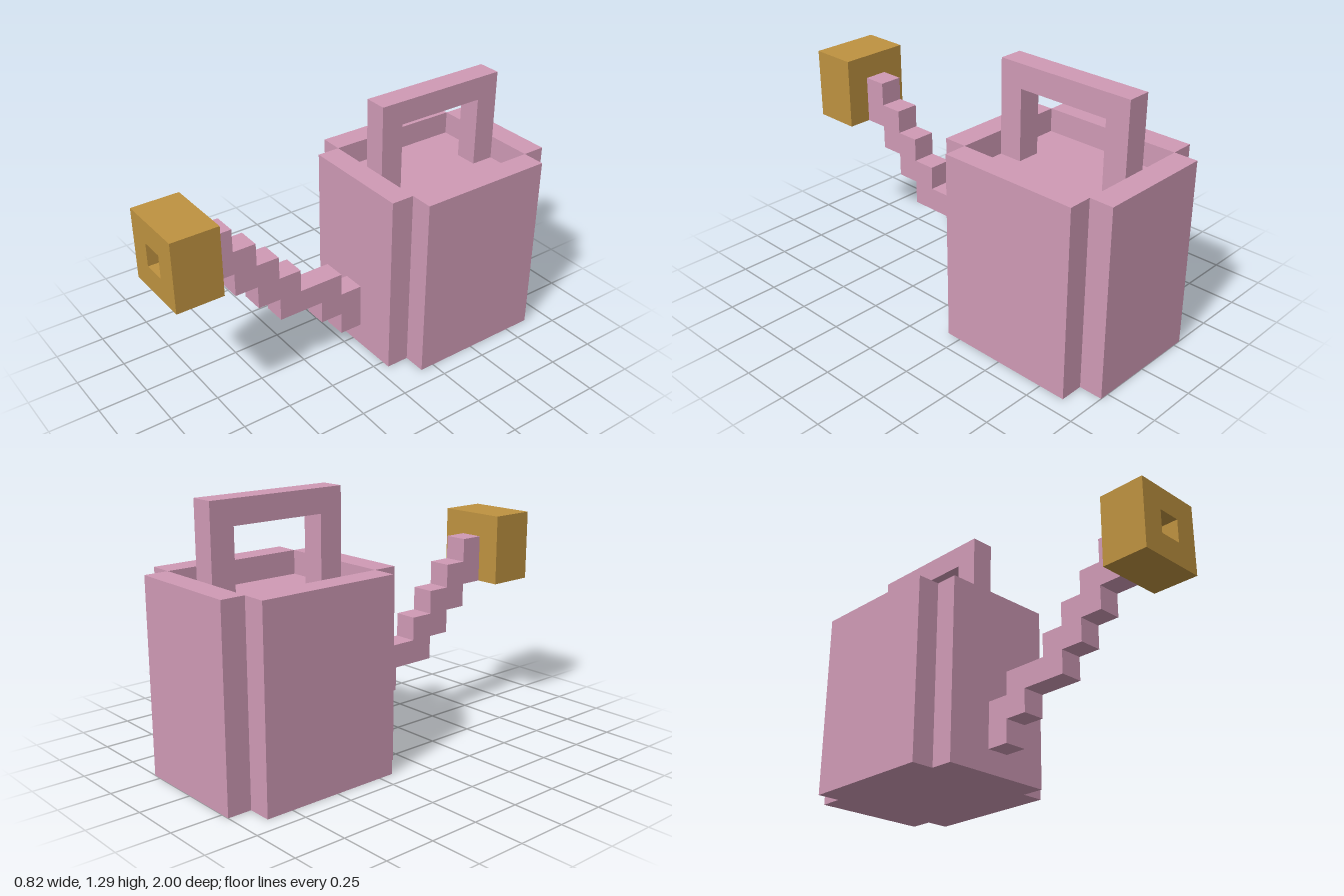
import * as THREE from 'three';

const U = 2 / 17; // one block unit
const pink = new THREE.MeshStandardMaterial({ color: 0xcf9ab5 });
const gold = new THREE.MeshStandardMaterial({ color: 0xbe9240 });

// Box given by its limits in block units
function block(name, [x0, x1], [y0, y1], [z0, z1], material = pink) {
  const mesh = new THREE.Mesh(
    new THREE.BoxGeometry((x1 - x0) * U, (y1 - y0) * U, (z1 - z0) * U), material);
  mesh.position.set((x0 + x1) / 2 * U, (y0 + y1) / 2 * U, (z0 + z1) / 2 * U);
  mesh.name = name;
  return mesh;
}

// Side profile of [z, y] points, one block wide, centred on x = 0
function sideProfile(name, points) {
  const shape = new THREE.Shape(points.map(([z, y]) => new THREE.Vector2(z * U, y * U)));
  const geometry = new THREE.ExtrudeGeometry(shape, { depth: U, bevelEnabled: false });
  geometry.translate(0, 0, -U / 2).rotateY(-Math.PI / 2);
  const mesh = new THREE.Mesh(geometry, pink);
  mesh.name = name;
  return mesh;
}

export function createModel() {
  const can = new THREE.Group();
  can.name = 'wateringCan';

  // Tank: filled core with four taller walls and notched corners
  can.add(
    block('tankFilling', [-2.5, 2.5], [0, 7], [-7.5, -1.5]),
    block('frontWall', [-2.5, 2.5], [0, 8], [-1.5, -0.5]),
    block('backWall', [-2.5, 2.5], [0, 8], [-8.5, -7.5]),
    block('leftWall', [2.5, 3.5], [0, 8], [-7.5, -1.5]),
    block('rightWall', [-3.5, -2.5], [0, 8], [-7.5, -1.5]));

  // Arched handle standing inside the rim
  can.add(sideProfile('handle', [
    [-7.5, 7], [-6.5, 7], [-6.5, 10], [-2.5, 10],
    [-2.5, 7], [-1.5, 7], [-1.5, 11], [-7.5, 11]]));

  // Stepped spout: bottom and top of each one-block column
  const columns = [[1, 3], [2, 4], [3, 4], [3, 5], [4, 6], [5, 7], [6, 8]];
  const lower = [], upper = [];
  columns.forEach(([bottom, top], i) => {
    const z = i - 0.5;
    if (bottom !== columns[i - 1]?.[0]) lower.push([z, bottom]);
    if (bottom !== columns[i + 1]?.[0]) lower.push([z + 1, bottom]);
    if (top !== columns[i - 1]?.[1]) upper.push([z, top]);
    if (top !== columns[i + 1]?.[1]) upper.push([z + 1, top]);
  });
  can.add(sideProfile('spout', [...lower, ...upper.reverse()]));

  // Spout head: solid back half, front half with a square opening
  const head = new THREE.Group();
  head.name = 'spoutHead';
  const square = (path, r) => path.moveTo(-r, -r).lineTo(r, -r).lineTo(r, r).lineTo(-r, r).closePath();
  const face = square(new THREE.Shape(), 1.5 * U);
  face.holes.push(square(new THREE.Path(), 0.5 * U));
  const front = new THREE.Mesh(
    new THREE.ExtrudeGeometry(face, { depth: U, bevelEnabled: false }), gold);
  front.position.set(0, 7.5 * U, 7.5 * U);
  front.name = 'spoutOpening';
  head.add(front, block('spoutHeadBack', [-1.5, 1.5], [6, 9], [6.5, 7.5], gold));
  can.add(head);

  return can;
}
